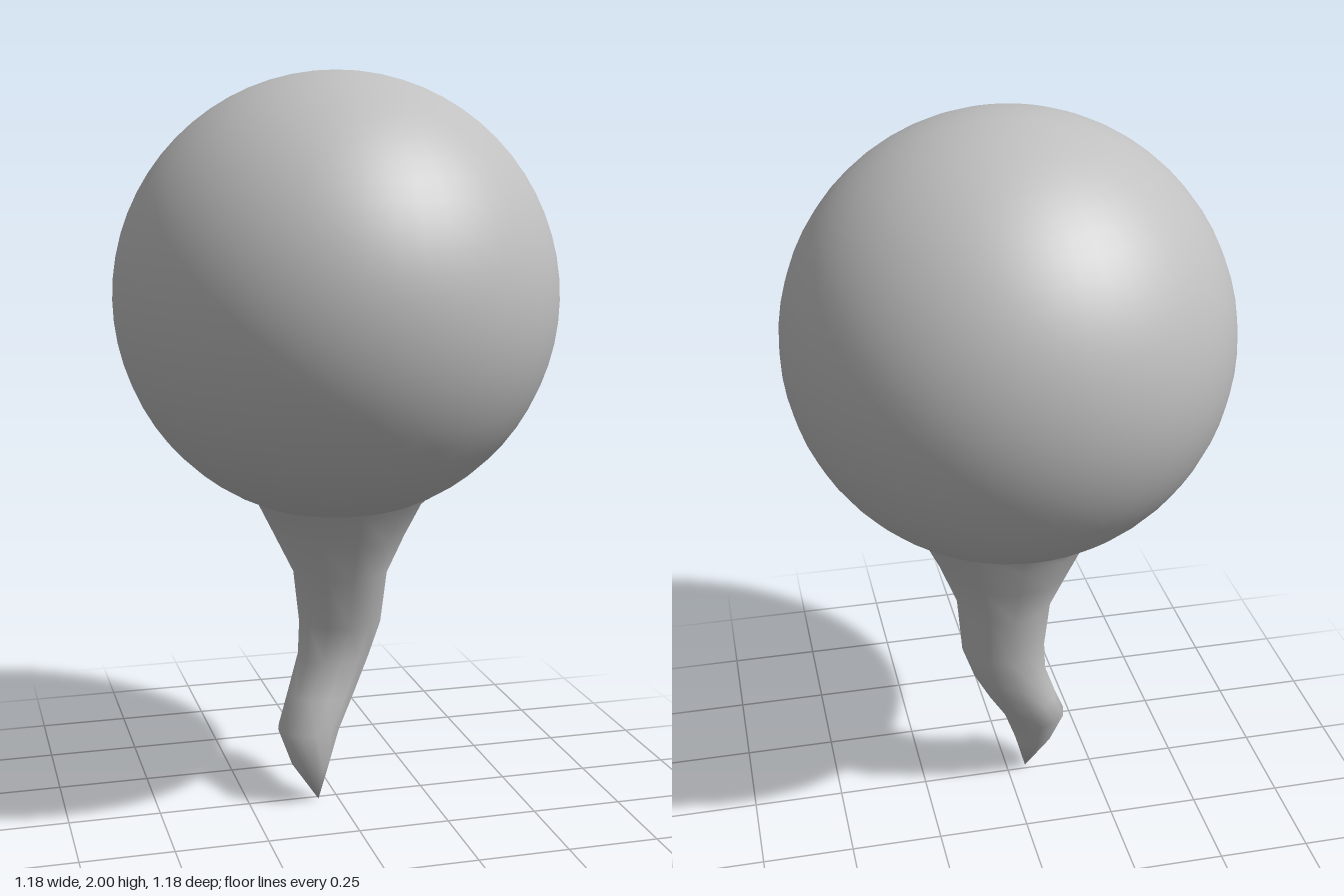
import * as THREE from 'three';

const grey = new THREE.MeshStandardMaterial({ color: 0xc0c0c0 });
grey.name = 'plain grey';

// Tail cross-sections from top to bottom: y, min x, max x, min z, max z
const sections = [
  [0.95, -0.32, 0.33, -0.32, 0.30],
  [0.90, -0.265, 0.29, -0.285, 0.255],
  [0.85, -0.21, 0.245, -0.265, 0.205],
  [0.76, -0.165, 0.20, -0.23, 0.16],
  [0.65, -0.11, 0.155, -0.19, 0.10],
  [0.50, -0.09, 0.145, -0.175, 0.05],
  [0.40, -0.095, 0.11, -0.155, 0.035],
  [0.30, -0.13, 0.06, -0.125, 0.055],
  [0.21, -0.165, 0.01, -0.09, 0.08],
  [0.11, -0.13, -0.025, -0.045, 0.07],
];
const tip = [-0.055, 0, 0.015];

// Bent tapering tail: elliptical loops joined down to a point
function tailGeometry(sides) {
  const positions = [];
  const index = [];
  for (const [y, x0, x1, z0, z1] of sections) {
    for (let i = 0; i < sides; i++) {
      const a = (i / sides) * Math.PI * 2;
      positions.push(
        (x0 + x1) / 2 + Math.cos(a) * (x1 - x0) / 2,
        y,
        (z0 + z1) / 2 + Math.sin(a) * (z1 - z0) / 2,
      );
    }
  }
  positions.push(...tip);
  const last = sections.length - 1;
  for (let r = 0; r <= last; r++) {
    for (let i = 0; i < sides; i++) {
      const a = r * sides + i;
      const b = r * sides + (i + 1) % sides;
      if (r === last) index.push(a, b, sections.length * sides);
      else index.push(a, b, a + sides, b, b + sides, a + sides);
    }
  }
  const geometry = new THREE.BufferGeometry();
  geometry.setAttribute('position', new THREE.Float32BufferAttribute(positions, 3));
  geometry.setIndex(index);
  geometry.computeVertexNormals();
  return geometry;
}

export function createModel() {
  const model = new THREE.Group();

  // Large round head
  const ball = new THREE.Mesh(new THREE.SphereGeometry(0.59, 48, 32), grey);
  ball.name = 'ball';
  ball.position.y = 1.41;

  // Flared collar running into the tail
  const tail = new THREE.Mesh(tailGeometry(12), grey);
  tail.name = 'tail';

  model.add(ball, tail);
  return model;
}
